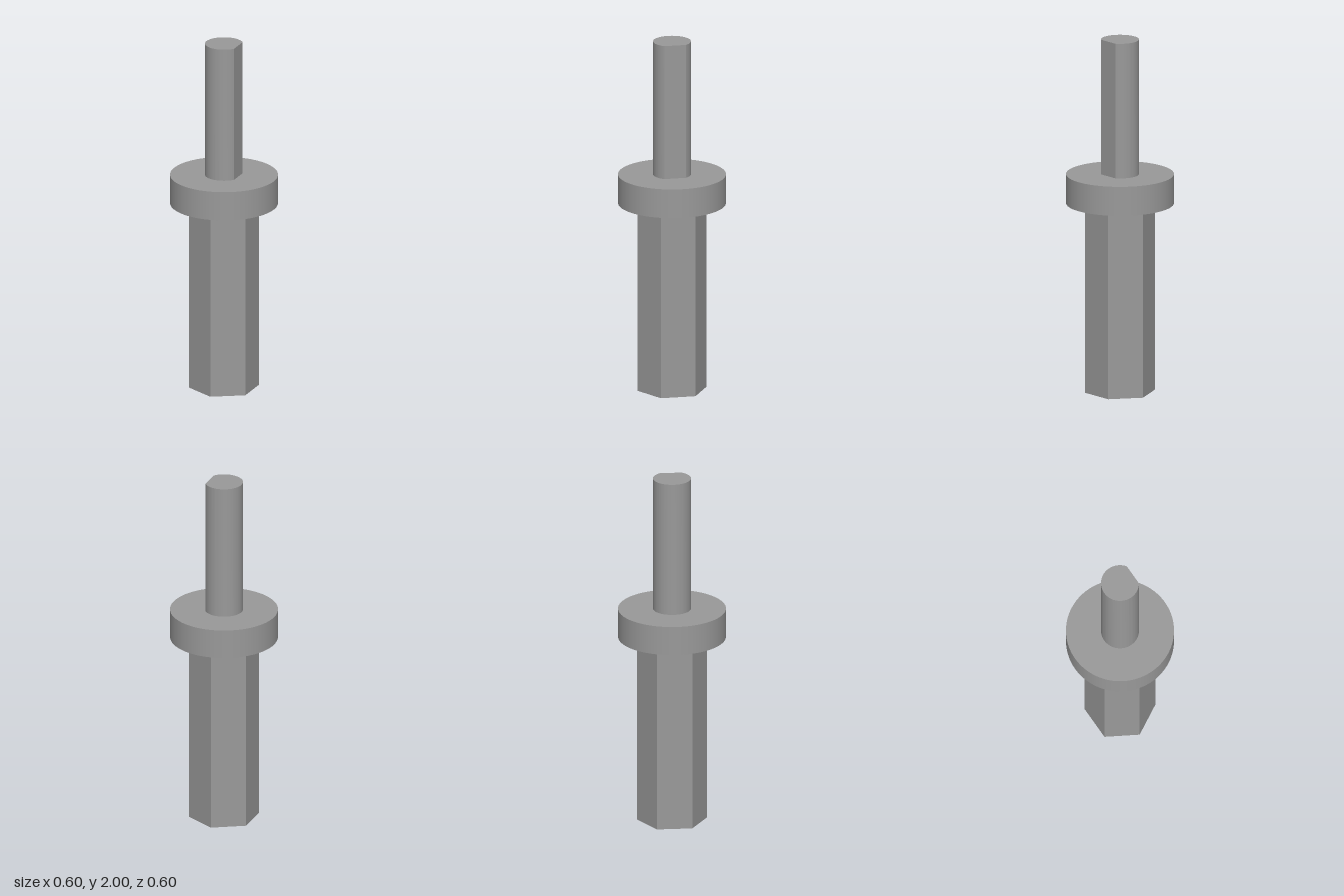
import * as THREE from 'three';
import { toCreasedNormals } from 'three/addons/utils/BufferGeometryUtils.js';

const HEX_TOP = 1.07, COLLAR_TOP = 1.235, TOP = 2;

export function createModel() {
  const group = new THREE.Group();
  group.name = 'hexShankDriveShaft';
  const steel = new THREE.MeshStandardMaterial({ color: 0x999999 });
  steel.name = 'grey steel';

  const add = (name, geometry, y) => {
    const mesh = new THREE.Mesh(geometry, steel);
    mesh.name = name;
    mesh.position.y = y;
    group.add(mesh);
  };

  // Hexagonal shank, with corners towards front and back
  const hex = new THREE.CylinderGeometry(0.195, 0.195, HEX_TOP, 6);
  add('hexShank', toCreasedNormals(hex, 0.4), HEX_TOP / 2);

  // Round collar
  const collarHeight = COLLAR_TOP - HEX_TOP;
  add('collar', new THREE.CylinderGeometry(0.298, 0.298, collarHeight, 96), HEX_TOP + collarHeight / 2);

  // D-shaped shaft: a circle cut by a flat on the +x side
  const radius = 0.105, flatX = 0.086;
  const a = Math.acos(flatX / radius);
  const profile = new THREE.Shape();
  profile.absarc(0, 0, radius, a, Math.PI * 2 - a, false);
  profile.closePath();
  const shaft = new THREE.ExtrudeGeometry(profile, {
    depth: TOP - COLLAR_TOP, bevelEnabled: false, curveSegments: 64,
  });
  shaft.rotateX(-Math.PI / 2);
  shaft.clearGroups();
  add('dShaft', toCreasedNormals(shaft, 0.4), COLLAR_TOP);

  return group;
}
